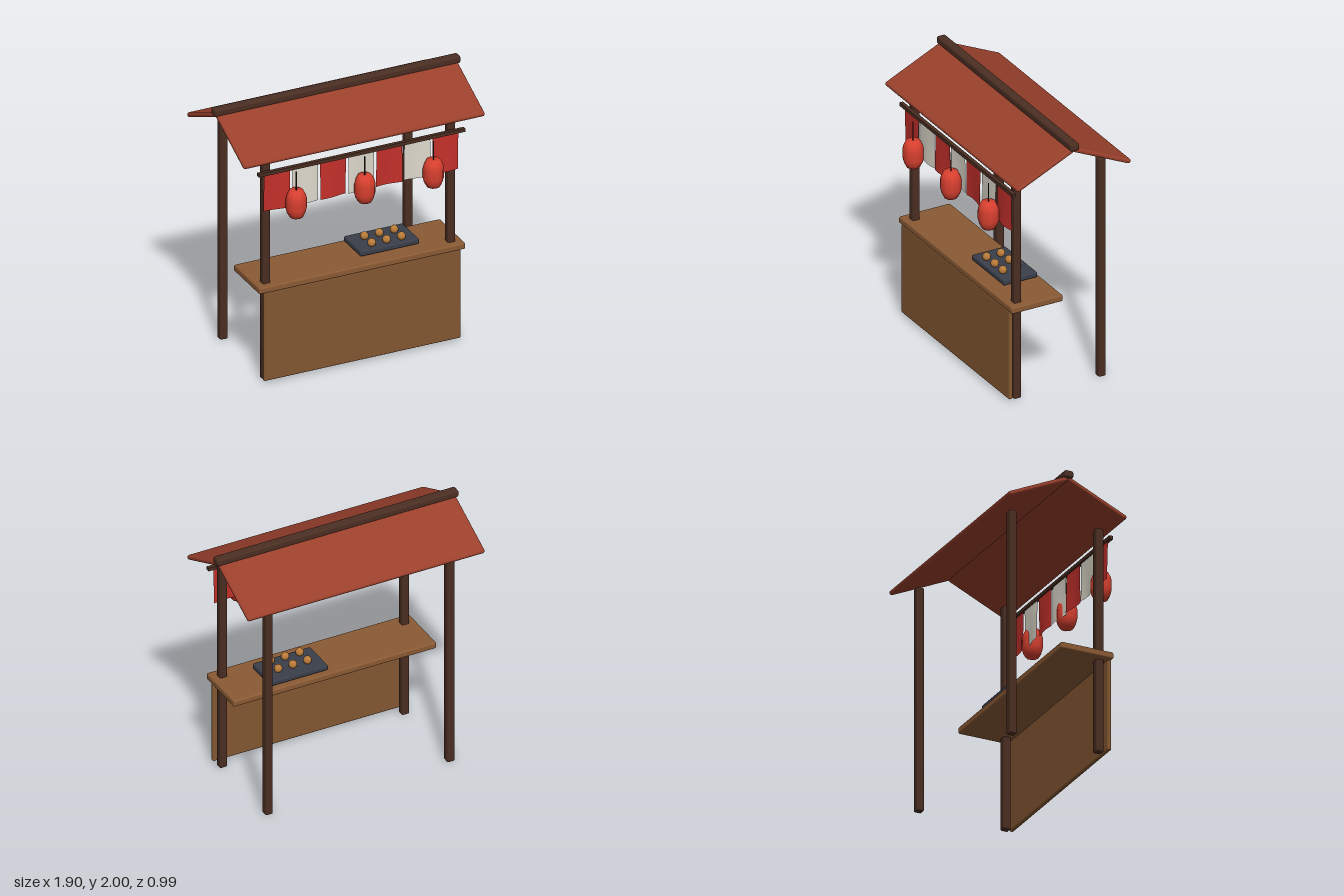
import * as THREE from 'three';
import { RoundedBoxGeometry } from 'three/addons/geometries/RoundedBoxGeometry.js';

const paint = (color, extra = {}) => {
  const m = new THREE.MeshStandardMaterial(extra);
  m.color.set(color);
  return m;
};

export function createModel() {
  const stall = new THREE.Group();
  stall.name = 'marketStall';

  const darkWood = paint(0x4a2e22);
  const wood = paint(0x8a5a34);
  const panelWood = paint(0x835731);
  const roofRed = paint(0x9a402c);
  const clothRed = paint(0xc4302b, { side: THREE.DoubleSide });
  const clothWhite = paint(0xded9cc, { side: THREE.DoubleSide });
  const lanternRed = paint(0xd8402f);
  const iron = paint(0x3a3e4a);
  const cordBlack = paint(0x2a201c);
  const dough = paint(0xb87a38);

  const add = (name, geometry, material, x, y, z, parent = stall) => {
    const mesh = new THREE.Mesh(geometry, material);
    mesh.name = name;
    mesh.position.set(x, y, z);
    parent.add(mesh);
    return mesh;
  };
  const box = (w, h, d, r = 0.01) => new RoundedBoxGeometry(w, h, d, 2, r);

  // Four posts
  for (const x of [-0.715, 0.715])
    for (const z of [0.305, -0.37])
      add('post', box(0.058, 1.71, 0.058), darkWood, x, 0.858, z);

  // Counter
  add('frontPanel', box(1.52, 0.69, 0.03), panelWood, 0, 0.365, 0.37);
  add('counterTop', box(1.595, 0.05, 0.41, 0.012), wood, 0, 0.73, 0.18);

  // Griddle with two rows of dumplings
  add('griddle', box(0.455, 0.04, 0.27), iron, 0.265, 0.784, 0.141);
  for (const x of [0.15, 0.265, 0.38])
    for (const z of [0.105, 0.22])
      add('dumpling', new THREE.SphereGeometry(0.03, 16, 12), dough, x, 0.827, z);

  // Two roof slopes meeting under the ridge beam
  const ridgeZ = -0.037, pitch = 0.433;
  for (const s of [1, -1]) {
    const slope = add('roofSlope', box(1.865, 0.034, 0.5, 0.015), roofRed,
      0, 1.842, ridgeZ + s * 0.228);
    slope.rotation.x = s * pitch;
  }
  add('ridgeBeam', box(1.9, 0.055, 0.07, 0.015), darkWood, 0, 1.9725, ridgeZ);

  // Curtain rail with seven softly waved cloth strips
  add('curtainRail', new THREE.BoxGeometry(1.595, 0.026, 0.028), darkWood, 0, 1.632, 0.364);
  for (let i = 0; i < 7; i++) {
    const cloth = new THREE.PlaneGeometry(0.2, 0.29, 8, 4);
    const p = cloth.attributes.position;
    for (let k = 0; k < p.count; k++) {
      const sag = (0.145 - p.getY(k)) / 0.29;
      p.setZ(k, 0.009 * sag * Math.sin(p.getX(k) * 20 + i * 1.3));
    }
    cloth.computeVertexNormals();
    add('curtainStrip', cloth, i % 2 ? clothWhite : clothRed, (i - 3) * 0.217, 1.478, 0.362);
  }

  // Three paper lanterns on cords
  const profile = [[0, -0.103], [0.048, -0.103], [0.066, -0.07], [0.075, -0.035], [0.075, 0.035],
    [0.068, 0.065], [0.05, 0.101], [0, 0.101]].map(([r, y]) => new THREE.Vector2(r, y));
  for (const x of [-0.53, 0, 0.53]) {
    const lantern = new THREE.Group();
    lantern.name = 'lantern';
    lantern.position.set(x, 1.38, 0.42);
    add('lanternShade', new THREE.LatheGeometry(profile, 10), lanternRed, 0, 0, 0, lantern);
    add('lanternCord', new THREE.CylinderGeometry(0.004, 0.004, 0.15, 6), cordBlack,
      0, 0.17, 0, lantern);
    stall.add(lantern);
  }

  return stall;
}
